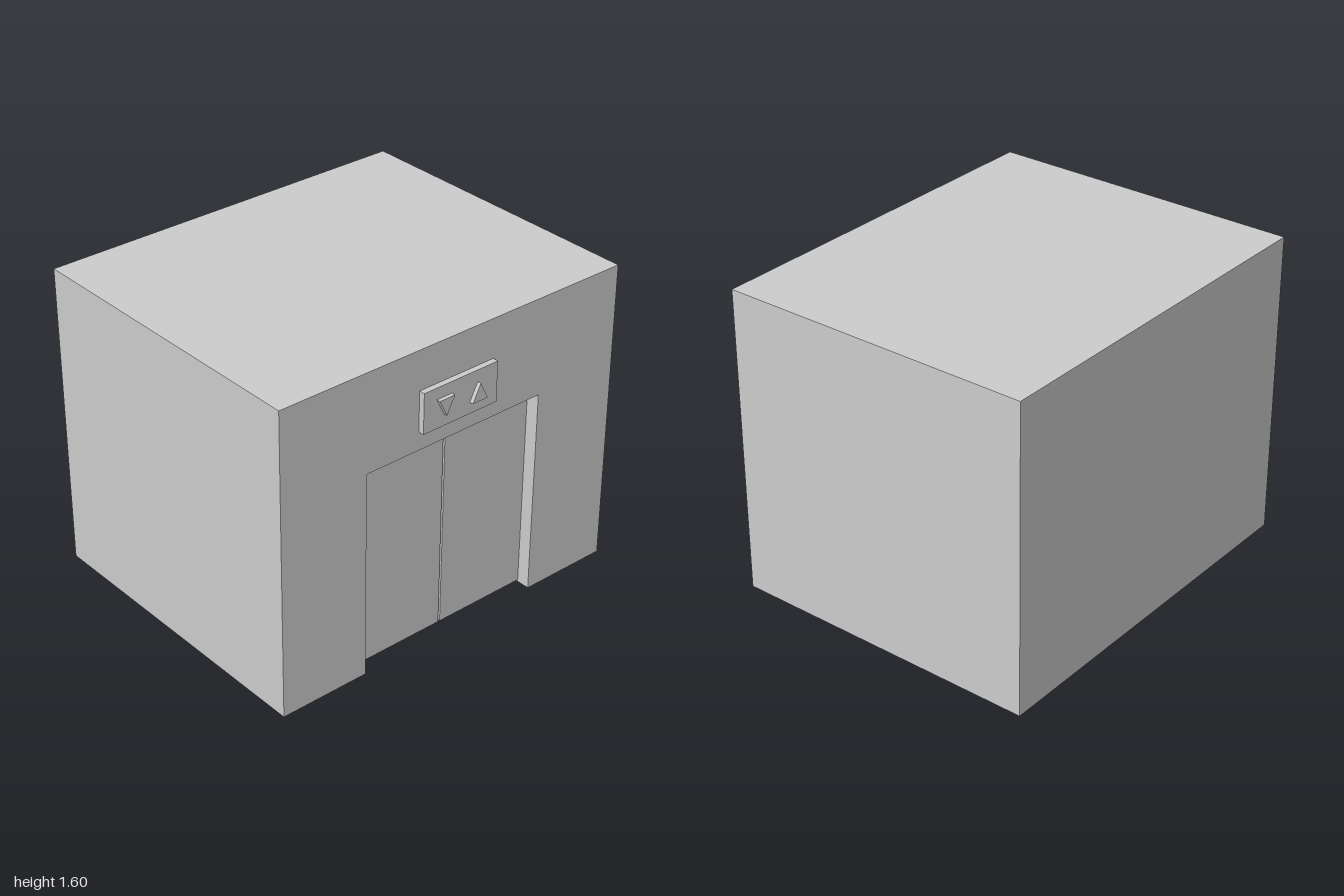
import * as THREE from 'three';

const solid = new THREE.MeshStandardMaterial({ color: 0xcccccc, flatShading: true });
const sheet = new THREE.MeshStandardMaterial({ color: 0xcccccc, flatShading: true, side: THREE.DoubleSide });

const OPEN_X = 0.52, OPEN_Y = 1.09;   // doorway half width and height
const FRONT = 0.795, INNER_FRONT = 0.685;

function add(parent, name, geometry, material, x = 0, y = 0, z = 0) {
  const mesh = new THREE.Mesh(geometry, material);
  mesh.name = name;
  mesh.position.set(x, y, z);
  parent.add(mesh);
  return mesh;
}

// Thin box shell, open underneath, with a doorway notched into its front
function addShell(parent, name, halfW, height, back, front) {
  const shell = new THREE.Group();
  shell.name = name;
  const depth = front - back, midZ = (front + back) / 2;

  const outline = new THREE.Shape([
    [-halfW, 0], [-OPEN_X, 0], [-OPEN_X, OPEN_Y], [OPEN_X, OPEN_Y],
    [OPEN_X, 0], [halfW, 0], [halfW, height], [-halfW, height],
  ].map(([x, y]) => new THREE.Vector2(x, y)));
  add(shell, 'frontWall', new THREE.ShapeGeometry(outline), sheet, 0, 0, front);

  add(shell, 'backWall', new THREE.PlaneGeometry(halfW * 2, height), sheet, 0, height / 2, back).rotation.y = Math.PI;
  for (const s of [-1, 1]) {
    add(shell, s > 0 ? 'leftWall' : 'rightWall', new THREE.PlaneGeometry(depth, height), sheet,
      s * halfW, height / 2, midZ).rotation.y = s * Math.PI / 2;
  }
  add(shell, 'roof', new THREE.PlaneGeometry(halfW * 2, depth), sheet, 0, height, midZ).rotation.x = -Math.PI / 2;
  parent.add(shell);
}

// Triangular call button pointing up (dir 1) or down (dir -1)
function addButton(parent, name, x, y, dir) {
  const tri = new THREE.Shape();
  tri.moveTo(-0.045 * dir, -0.045 * dir);
  tri.lineTo(0.045 * dir, -0.045 * dir);
  tri.lineTo(0, 0.045 * dir);
  tri.closePath();
  add(parent, name, new THREE.ExtrudeGeometry(tri, { depth: 0.02, bevelEnabled: false }), solid, x, y, 0.825);
}

export function createModel() {
  const model = new THREE.Group();
  model.name = 'elevatorCabin';

  // Outer and inner skins of the cabin
  addShell(model, 'outerShell', 1, 1.6, -0.845, FRONT);
  addShell(model, 'innerShell', 0.86, 1.48, -0.77, INNER_FRONT);

  // Doorway reveal joining the two skins
  const wall = FRONT - INNER_FRONT, wallZ = (FRONT + INNER_FRONT) / 2;
  for (const s of [-1, 1]) {
    add(model, s > 0 ? 'leftJamb' : 'rightJamb', new THREE.PlaneGeometry(wall, OPEN_Y), sheet,
      s * OPEN_X, OPEN_Y / 2, wallZ).rotation.y = -s * Math.PI / 2;
  }
  add(model, 'lintel', new THREE.PlaneGeometry(OPEN_X * 2, wall), sheet, 0, OPEN_Y, wallZ).rotation.x = Math.PI / 2;

  // Sliding doors, running into the wall cavity at each side
  for (const s of [-1, 1]) {
    add(model, s > 0 ? 'leftDoor' : 'rightDoor', new THREE.BoxGeometry(0.655, 1.07, 0.037), solid,
      s * 0.3325, 0.545, 0.7065);
  }

  // Indicator panel with down and up buttons
  add(model, 'indicatorPanel', new THREE.BoxGeometry(0.44, 0.21, 0.03), solid, 0, 1.29, 0.81);
  addButton(model, 'downButton', -0.1, 1.29, -1);
  addButton(model, 'upButton', 0.1, 1.29, 1);

  return model;
}
